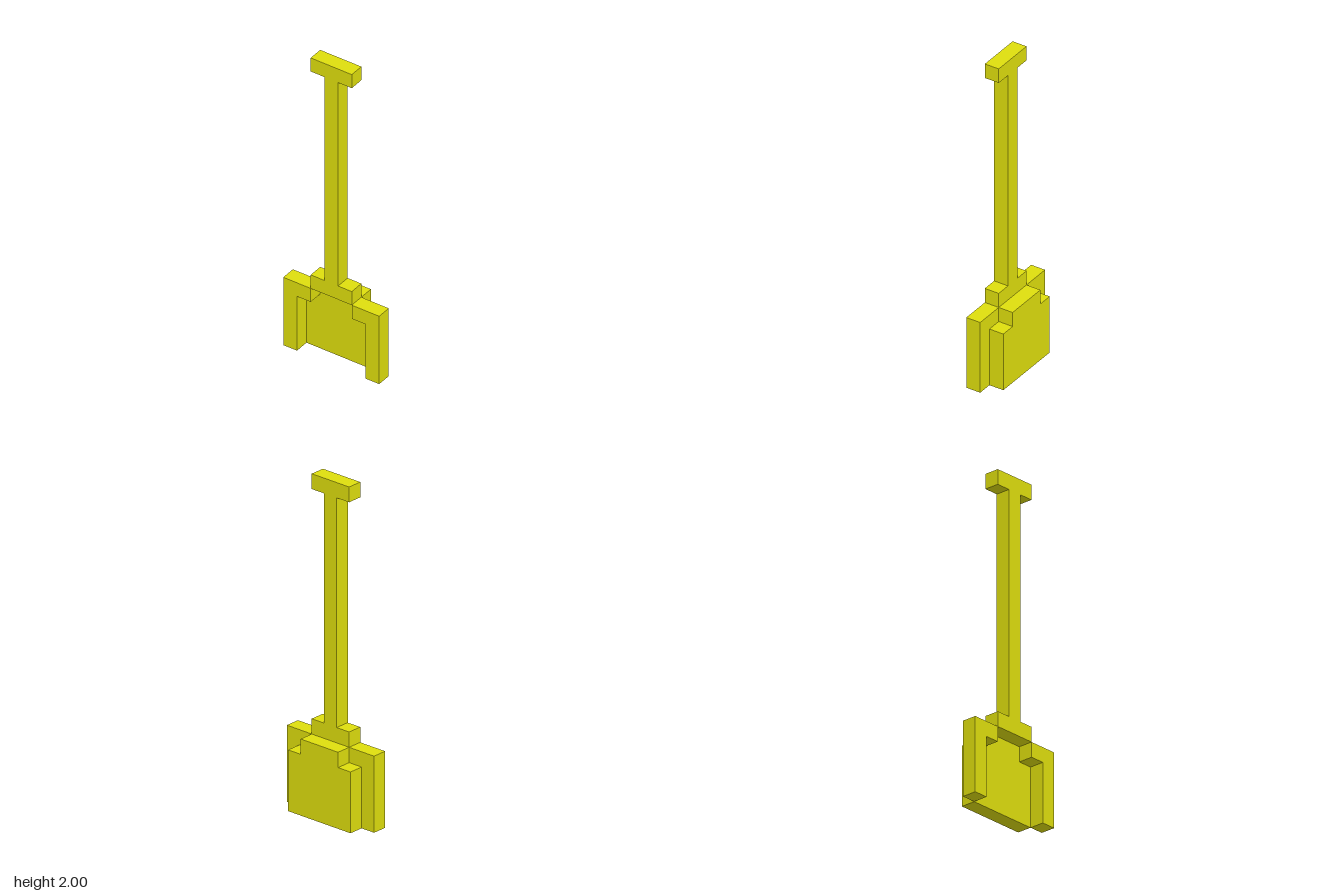
import * as THREE from 'three';

// One block of the model; the whole shovel is 22 blocks tall
const U = 2 / 22;

const material = new THREE.MeshStandardMaterial({ color: 0xdddd0d, flatShading: true });

// Extrudes an outline given in blocks (counter-clockwise) to one block deep
function slab(name, outline, z) {
  const shape = new THREE.Shape(outline.map(([x, y]) => new THREE.Vector2(x * U, y * U)));
  const geometry = new THREE.ExtrudeGeometry(shape, { depth: U, bevelEnabled: false });
  const mesh = new THREE.Mesh(geometry, material);
  mesh.name = name;
  mesh.position.z = z;
  return mesh;
}

// Mirrors an outline across x = 0, keeping its winding
const mirror = (outline) => outline.map(([x, y]) => [-x, y]).reverse();

// Completes a symmetric outline from its +x half, listed bottom to top
const symmetric = (half) => [...half, ...mirror(half)];

export function createModel() {
  const shovel = new THREE.Group();
  shovel.name = 'shovel';

  // Collar, shaft and T-shaped grip in one silhouette
  shovel.add(slab('handle', symmetric([
    [1.5, 5], [1.5, 6], [0.5, 6], [0.5, 21], [1.5, 21], [1.5, 22],
  ]), 0));

  // Raised rims on both sides of the blade, hooked inwards at the top
  const rim = [[2.5, 0], [3.5, 0], [3.5, 5], [1.5, 5], [1.5, 4], [2.5, 4]];
  shovel.add(slab('leftRim', rim, 0));
  shovel.add(slab('rightRim', mirror(rim), 0));

  // Blade plate, set one block back, with stepped shoulders
  shovel.add(slab('blade', symmetric([
    [2.5, 0], [2.5, 4], [1.5, 4], [1.5, 5],
  ]), -U));

  return shovel;
}
